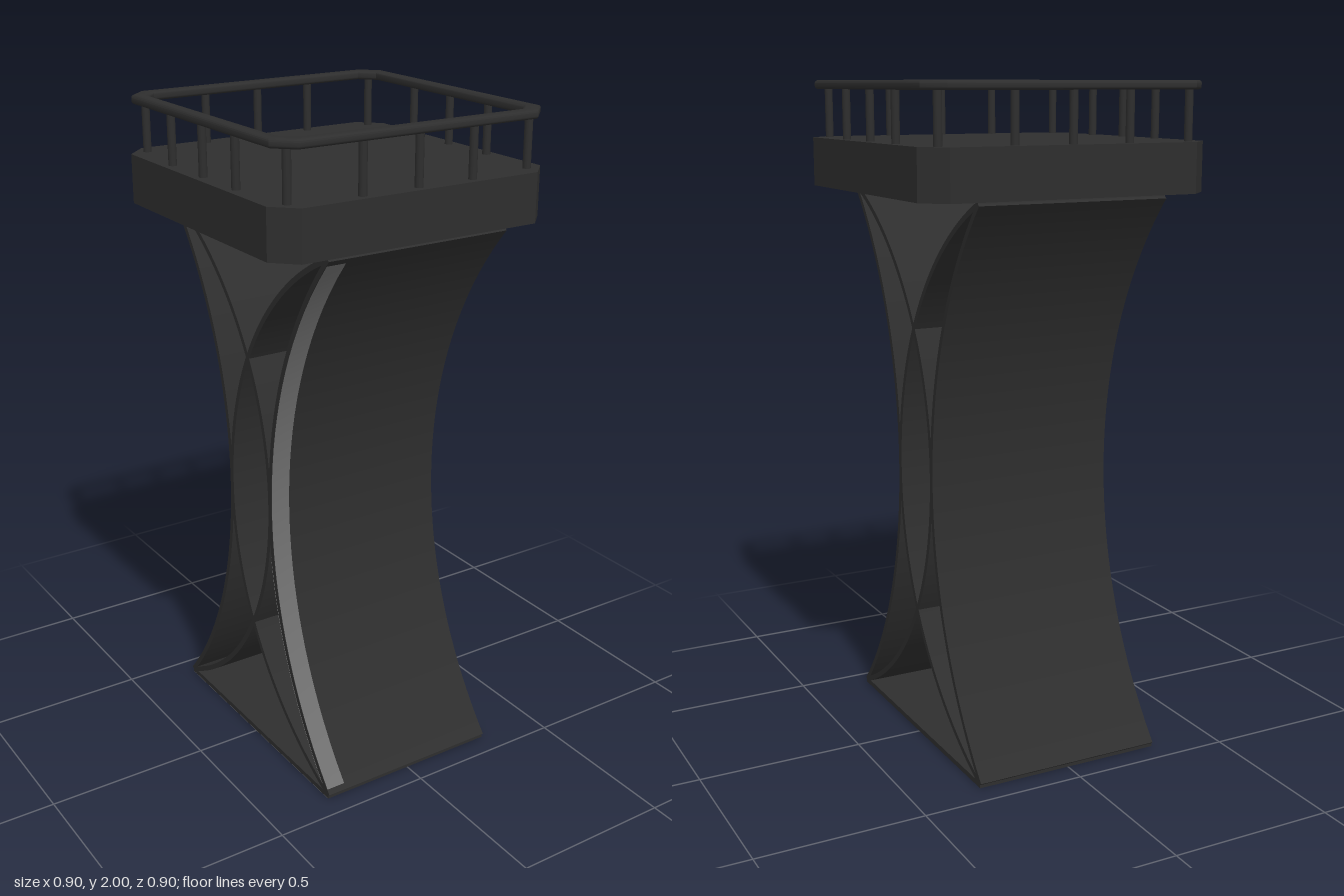
import * as THREE from 'three';
import { toCreasedNormals } from 'three/addons/utils/BufferGeometryUtils.js';

const WIDTH = 0.59, MID_Y = 0.845, HALF_H = 0.835, END_Z = 0.43, THICK = 0.016;

const charcoal = new THREE.MeshStandardMaterial({ color: 0x2e2e2e });
charcoal.name = 'charcoal';
const grey = new THREE.MeshStandardMaterial({ color: 0x707070, side: THREE.DoubleSide });
grey.name = 'worn grey';

function add(parent, name, geometry, material = charcoal) {
  const mesh = new THREE.Mesh(geometry, material);
  mesh.name = name;
  parent.add(mesh);
  return mesh;
}

// Circle through both ends of a sheet and its middle at z = vertexZ
function arc(vertexZ) {
  const sag = END_Z - vertexZ;
  const r = (HALF_H * HALF_H + sag * sag) / (2 * sag);
  return { r, c: vertexZ + r, a: Math.asin(HALF_H / r) };
}

// Curved sheet spanning the whole width of the tower
function sheetGeometry(vertexZ) {
  const { r, c, a } = arc(vertexZ);
  const s = new THREE.Shape();
  s.absarc(c, MID_Y, r + THICK / 2, Math.PI - a, Math.PI + a, false);
  s.absarc(c, MID_Y, r - THICK / 2, Math.PI + a, Math.PI - a, true);
  const g = new THREE.ExtrudeGeometry(s, { depth: WIDTH, bevelEnabled: false, curveSegments: 48 });
  g.rotateY(-Math.PI / 2).translate(WIDTH / 2, 0, 0);
  return toCreasedNormals(g, 0.5);
}

// Tapering ribbon lying on a sheet, along its right-hand edge
function ribbonGeometry(vertexZ, side, y0, y1, widthAt) {
  const { r, c } = arc(vertexZ);
  const radius = r + side * (THICK / 2 + 0.002);
  const g = new THREE.PlaneGeometry(1, 1, 1, 32);
  const p = g.attributes.position;
  for (let i = 0; i < p.count; i++) {
    const t = p.getY(i) + 0.5, y = y0 + (y1 - y0) * t;
    const x = -WIDTH / 2 + (p.getX(i) + 0.5) * widthAt(t);
    p.setXYZ(i, x, y, c - Math.sqrt(radius * radius - (y - MID_Y) ** 2));
  }
  g.computeVertexNormals();
  return g;
}

// Square outline with cut corners
function octagon(h, cut, Type = THREE.Shape) {
  const k = h - cut;
  return new Type([[h, -k], [h, k], [k, h], [-k, h], [-h, k], [-h, -k], [-k, -h], [k, -h]]
    .map(([x, y]) => new THREE.Vector2(x, y)));
}

export function createModel() {
  const model = new THREE.Group();
  model.name = 'tower';

  // Crossing arched sheets, mirrored front to back
  for (const [label, turn] of [['front', 0], ['back', Math.PI]]) {
    add(model, label + 'OuterSheet', sheetGeometry(0.115)).rotation.y = turn;
    add(model, label + 'CrossingSheet', sheetGeometry(-0.112)).rotation.y = turn;
  }

  // Base plate
  add(model, 'basePlate', new THREE.BoxGeometry(WIDTH, 0.016, 0.86)).position.y = 0.008;

  // Worn strips along the right-hand edge
  add(model, 'frontWornPatch',
    ribbonGeometry(0.115, 1, 0.012, 0.7, t => 0.07 * (1 - t) ** 1.7), grey);
  add(model, 'innerWornPatch',
    ribbonGeometry(0.115, -1, 0.03, 1.66, () => 0.06), grey);
  const baseStrip = add(model, 'baseWornPatch', new THREE.BoxGeometry(0.06, 0.002, 0.85), grey);
  baseStrip.position.set(-WIDTH / 2 + 0.03, -0.0005, 0);

  // Platform deck with cut corners
  const deck = new THREE.ExtrudeGeometry(octagon(0.45, 0.065), { depth: 0.145, bevelEnabled: false });
  deck.rotateX(-Math.PI / 2).translate(0, 1.685, 0);
  add(model, 'platform', deck);

  // Handrail ring with softened edges
  const ring = octagon(0.432, 0.05);
  ring.holes.push(octagon(0.408, 0.045, THREE.Path));
  const rail = new THREE.ExtrudeGeometry(ring, {
    depth: 0.01, bevelThickness: 0.008, bevelSize: 0.008, bevelSegments: 3,
  });
  rail.rotateX(-Math.PI / 2).translate(0, 1.982, 0);
  add(model, 'handrail', toCreasedNormals(rail, 0.7));

  // Railing posts: three on each side and one at each corner
  const posts = new THREE.Group();
  posts.name = 'railingPosts';
  model.add(posts);
  const postGeometry = new THREE.CylinderGeometry(0.012, 0.012, 0.155, 12);
  for (let i = 0; i < 4; i++) {
    const side = new THREE.Group();
    side.name = 'railingSide' + (i + 1);
    side.rotation.y = i * Math.PI / 2;
    posts.add(side);
    for (const x of [-0.18, 0, 0.18]) {
      add(side, 'sidePost', postGeometry).position.set(x, 1.905, 0.42);
    }
    add(side, 'cornerPost', postGeometry).position.set(0.393, 1.905, 0.393);
  }
  return model;
}
